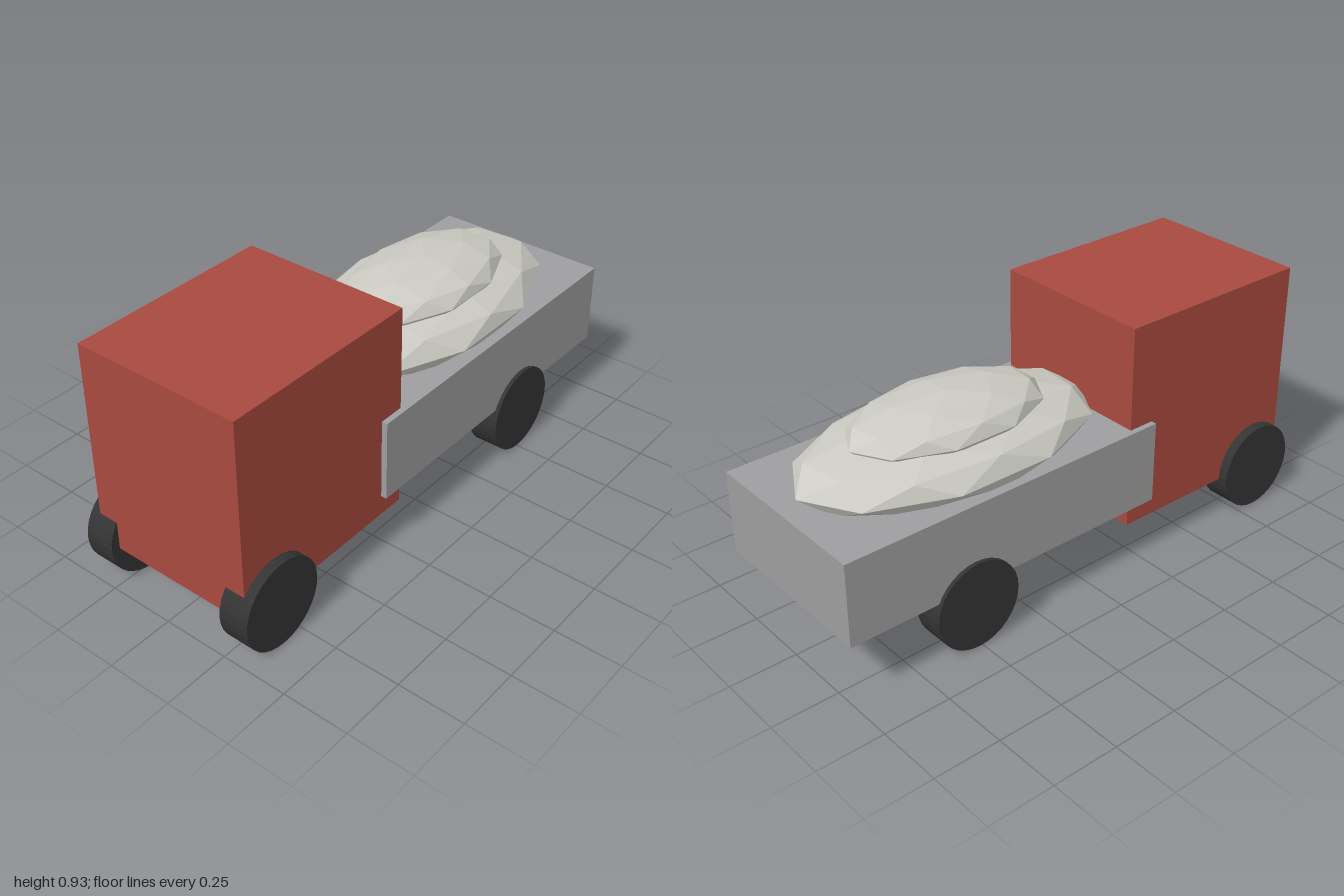
import * as THREE from 'three';

const material = (name, color) => {
  const m = new THREE.MeshStandardMaterial({ color, flatShading: true });
  m.name = name;
  return m;
};

export function createModel() {
  const truck = new THREE.Group();
  truck.name = 'truck';
  const red = material('cabRed', 0xa94a40);
  const grey = material('bedGrey', 0x9e9ea0);
  const stone = material('loadStone', 0xcbcbc3);
  const rubber = material('tyreBlack', 0x343434);

  const add = (name, geometry, mat, x, y, z) => {
    const mesh = new THREE.Mesh(geometry, mat);
    mesh.name = name;
    mesh.position.set(x, y, z);
    truck.add(mesh);
    return mesh;
  };

  // Cab and cargo bed
  add('cab', new THREE.BoxGeometry(0.64, 0.773, 0.775), red, 0, 0.5435, 0.578);
  add('bed', new THREE.BoxGeometry(0.684, 0.31, 1.29), grey, 0, 0.39, -0.355);

  // Four wheels, mirrored in pairs
  const wheel = new THREE.CylinderGeometry(0.166, 0.166, 0.115, 32).rotateZ(Math.PI / 2);
  for (const [end, z] of [['front', 0.834], ['rear', -0.51]]) {
    for (const [side, s] of [['Left', 1], ['Right', -1]]) {
      add(`${end}${side}Wheel`, wheel, rubber, s * 0.2995, 0.166, z);
    }
  }

  // Heaped load: two flattened faceted mounds, each with a vertex at its top
  const mound = new THREE.IcosahedronGeometry(1, 1)
    .rotateZ(-Math.atan(2 / (1 + Math.sqrt(5))));
  add('lowerMound', mound, stone, 0, 0.582, -0.355).scale.set(0.336, 0.122, 0.592);
  add('upperMound', mound, stone, 0, 0.676, -0.355).scale.set(0.226, 0.088, 0.386);

  return truck;
}
